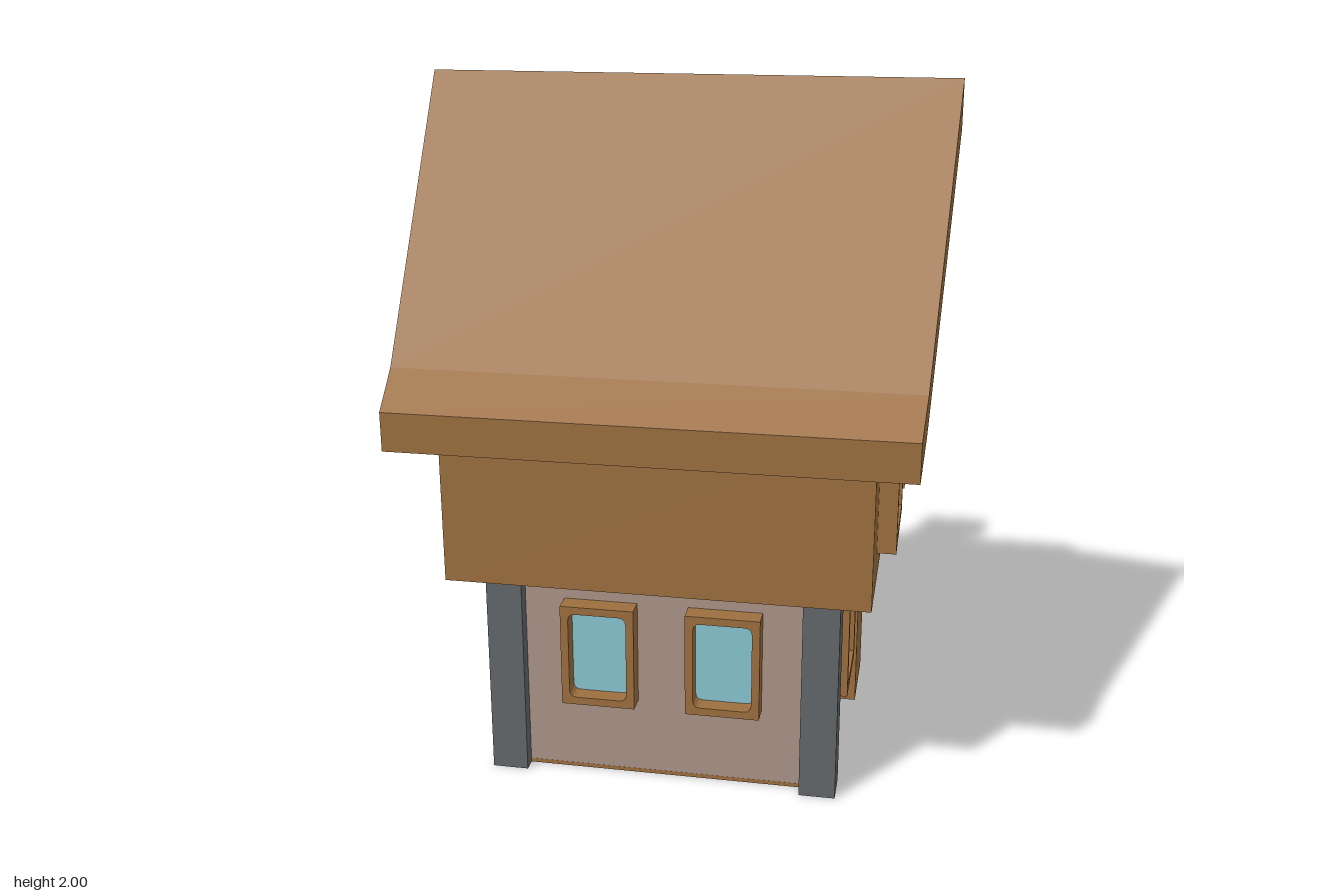
import * as THREE from 'three';

const mat = (name, color) => {
  const m = new THREE.MeshStandardMaterial({ color });
  m.name = name;
  return m;
};

export function createModel() {
  const house = new THREE.Group();
  house.name = 'house';

  const wood = mat('wood brown', 0x9c6f3f);
  const plaster = mat('plaster pink', 0xab9388);
  const slate = mat('slate grey', 0x63676b);
  const capBrown = mat('dark red brown', 0x664540);
  const blueGlass = mat('blue glass', 0x88c5d1);
  const tealGlass = mat('teal glass', 0x79b1a7);

  const add = (parent, name, geometry, material) => {
    const mesh = new THREE.Mesh(geometry, material);
    mesh.name = name;
    parent.add(mesh);
    return mesh;
  };

  // Box given by its minimum and maximum corners
  const box = (name, material, [x0, y0, z0], [x1, y1, z1]) => {
    const g = new THREE.BoxGeometry(x1 - x0, y1 - y0, z1 - z0);
    g.translate((x0 + x1) / 2, (y0 + y1) / 2, (z0 + z1) / 2);
    return add(house, name, g, material);
  };

  const outline = (points) => new THREE.Shape(points.map(([a, b]) => new THREE.Vector2(a, b)));

  // Ground floor
  box('floor', wood, [-0.49, 0, -0.49], [0.49, 0.012, 0.49]).scale.set(0.96, 1, 0.96);
  box('groundFloorWalls', plaster, [-0.47, 0.002, -0.47], [0.47, 0.65, 0.47]);
  for (const sx of [-1, 1]) {
    for (const sz of [-1, 1]) {
      const post = add(house, 'cornerPost', new THREE.BoxGeometry(0.105, 0.65, 0.105), slate);
      post.position.set(sx * 0.459, 0.325, sz * 0.459);
    }
    // Doors on both sides
    const door = add(house, 'door', new THREE.BoxGeometry(0.07, 0.55, 0.25), wood);
    door.position.set(sx * 0.491, 0.275, -0.205);
  }

  // Upper floor with gables
  const gable = new THREE.ExtrudeGeometry(
    outline([[-0.6, 0.64], [0.6, 0.64], [0.6, 1.15], [0, 1.86], [-0.6, 1.15]]),
    { depth: 1.2, bevelEnabled: false });
  gable.translate(0, 0, -0.6).rotateY(Math.PI / 2);
  add(house, 'upperFloor', gable, wood);

  // Roof: two slopes with flared eaves, longer at the ridge than at the eaves
  const slope = new THREE.ExtrudeGeometry(
    outline([[0, 1.86], [0.6, 1.15], [0.72, 1.06], [0.72, 1.17], [0.6, 1.26], [0, 2]]),
    { depth: 2, bevelEnabled: false });
  slope.translate(0, 0, -1);
  const p = slope.attributes.position;
  for (let i = 0; i < p.count; i++) {
    p.setZ(i, p.getZ(i) * (0.77 - 0.055 * Math.abs(p.getX(i)) / 0.72));
  }
  slope.computeVertexNormals();
  for (const s of [-1, 1]) add(house, 'roofSlope', slope, wood).rotation.y = s * Math.PI / 2;

  // Chimney on the back slope
  box('chimneyShaft', wood, [-0.095, 1.25, -0.505], [0.095, 1.67, -0.412]);
  box('chimneyCap', capBrown, [-0.112, 1.66, -0.525], [0.112, 1.76, -0.395]);

  // Rectangle path with optional rounded corners
  const rect = (path, w, h, r) => {
    const x = w / 2, y = h / 2;
    path.moveTo(-x + r, -y);
    path.lineTo(x - r, -y);
    if (r) path.quadraticCurveTo(x, -y, x, -y + r);
    path.lineTo(x, y - r);
    if (r) path.quadraticCurveTo(x, y, x - r, y);
    path.lineTo(-x + r, y);
    if (r) path.quadraticCurveTo(-x, y, -x, y - r);
    path.lineTo(-x, -y + r);
    if (r) path.quadraticCurveTo(-x, -y, -x + r, -y);
    return path;
  };

  // Window facing its local +z: open frame with recessed glass
  const makeWindow = (w, h, border, depth, glass, radius) => {
    const win = new THREE.Group();
    win.name = 'window';
    const shape = rect(new THREE.Shape(), w, h, 0);
    shape.holes.push(rect(new THREE.Path(), w - 2 * border, h - 2 * border, radius));
    add(win, 'windowFrame', new THREE.ExtrudeGeometry(shape, { depth, bevelEnabled: false, curveSegments: 3 }), wood);
    const pane = add(win, 'windowPane', new THREE.BoxGeometry(w - border, h - border, 0.006), glass);
    pane.position.z = 0.005;
    house.add(win);
    return win;
  };

  // Ground floor windows, front and back
  for (const s of [-1, 1]) {
    for (const x of [-0.182, 0.182]) {
      const win = makeWindow(0.215, 0.31, 0.023, 0.058, blueGlass, 0.022);
      win.position.set(x, 0.395, s * 0.469);
      if (s < 0) win.rotation.y = Math.PI;
    }
    // Side windows, lower and upper
    const low = makeWindow(0.275, 0.31, 0.025, 0.058, tealGlass, 0);
    low.position.set(s * 0.469, 0.395, 0.205);
    low.rotation.y = s * Math.PI / 2;
    for (const [z, w] of [[0.256, 0.342], [-0.252, 0.315]]) {
      const high = makeWindow(w, 0.36, 0.027, 0.055, tealGlass, 0);
      high.position.set(s * 0.599, 0.92, z);
      high.rotation.y = s * Math.PI / 2;
    }
  }

  return house;
}
